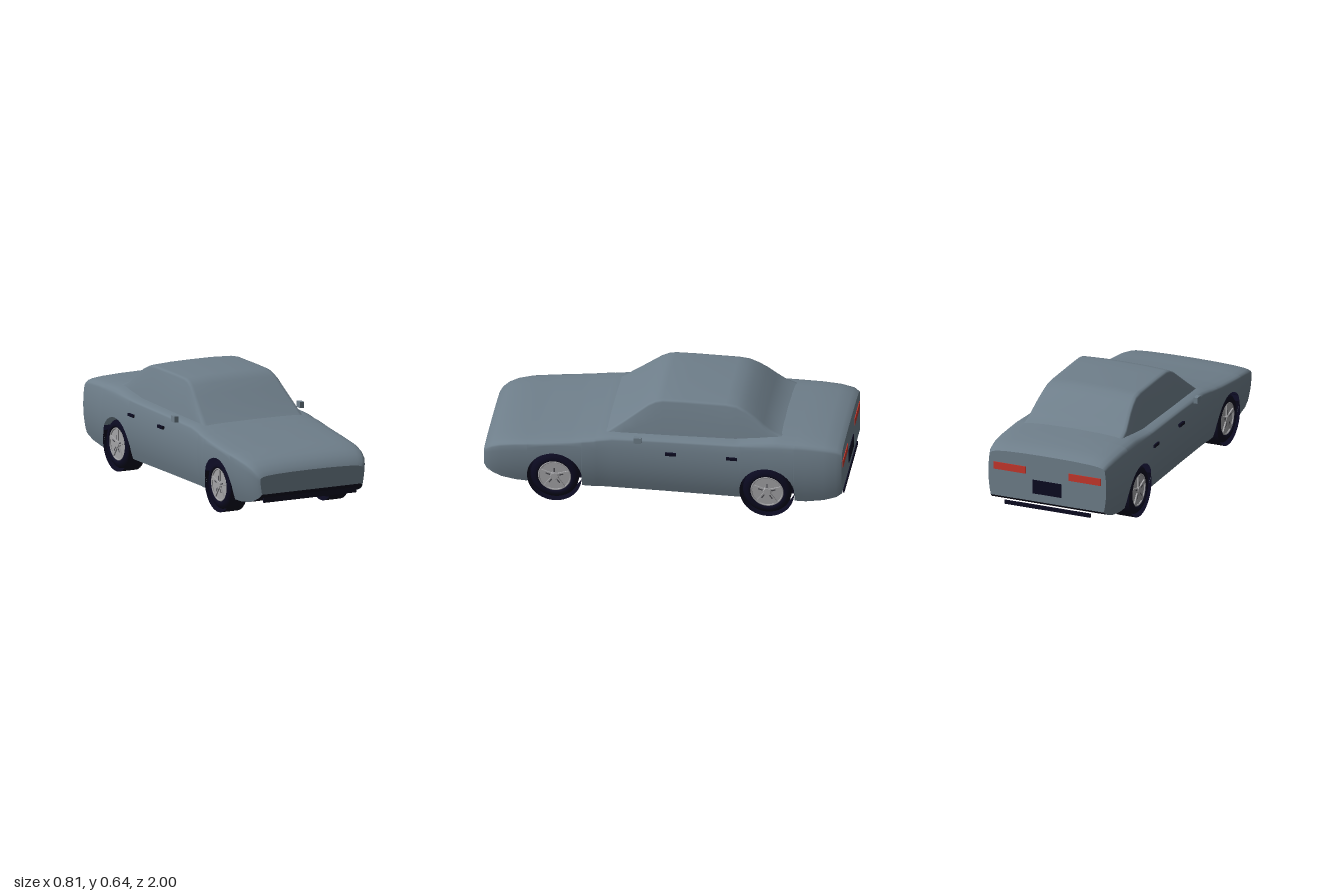
import * as THREE from 'three';

const mat = (name, color, side = THREE.FrontSide) => {
  const m = new THREE.MeshStandardMaterial({ color, side });
  m.name = name;
  return m;
};

// Linear interpolation in rows of [z, ...values], ordered from front to back
function sample(keys, z) {
  let i = 0;
  while (i < keys.length - 2 && z < keys[i + 1][0]) i++;
  const a = keys[i], b = keys[i + 1];
  const t = THREE.MathUtils.clamp((a[0] - z) / (a[0] - b[0]), 0, 1);
  return a.map((v, k) => THREE.MathUtils.lerp(v, b[k], t));
}

// Skin over half sections [x, y] (bottom to centre line), mirrored in x
function loft(zs, half, caps = true) {
  const pos = [], idx = [];
  const rows = zs.map((z) => {
    const h = half(z);
    const mirrored = h.filter((p) => p[0] > 0).reverse().map(([x, y]) => [-x, y]);
    return [...h, ...mirrored].map(([x, y]) => [x, y, z]);
  });
  const n = rows[0].length;
  rows.forEach((r) => r.forEach((p) => pos.push(...p)));
  for (let i = 0; i < rows.length - 1; i++) {
    for (let j = 0; j < n - 1; j++) {
      const a = i * n + j, b = a + n;
      idx.push(a, b, a + 1, b, b + 1, a + 1);
    }
  }
  if (caps) {
    [rows[0], rows[rows.length - 1]].forEach((r, end) => {
      const s = pos.length / 3;
      r.forEach((p) => pos.push(...p));
      for (let j = 1; j < n - 1; j++) {
        if (end) idx.push(s, s + j + 1, s + j);
        else idx.push(s, s + j, s + j + 1);
      }
    });
  }
  const g = new THREE.BufferGeometry();
  g.setAttribute('position', new THREE.Float32BufferAttribute(pos, 3));
  g.setIndex(idx);
  g.computeVertexNormals();
  return g;
}

const AXLES = [0.6, -0.585], AXLE_Y = 0.135, ARCH = 0.152;

// z, half width, bottom, belt line, top
const BODY = [
  [1.0, 0.325, 0.15, 0.235, 0.262],
  [0.985, 0.34, 0.13, 0.255, 0.285],
  [0.95, 0.355, 0.11, 0.28, 0.312],
  [0.9, 0.368, 0.092, 0.3, 0.332],
  [0.82, 0.379, 0.082, 0.317, 0.346],
  [0.7, 0.384, 0.078, 0.332, 0.357],
  [0.5, 0.385, 0.078, 0.355, 0.382],
  [0.38, 0.385, 0.078, 0.373, 0.402],
  [0.365, 0.38, 0.078, 0.375, 0.405],
  [0.28, 0.379, 0.078, 0.388, 0.422],
  [0, 0.379, 0.078, 0.397, 0.422],
  [-0.4, 0.384, 0.078, 0.405, 0.43],
  [-0.62, 0.385, 0.078, 0.412, 0.465],
  [-0.8, 0.384, 0.08, 0.415, 0.46],
  [-0.9, 0.38, 0.098, 0.41, 0.453],
  [-0.97, 0.37, 0.122, 0.4, 0.44],
  [-1.0, 0.357, 0.145, 0.385, 0.42],
];
// z, roof line
const ROOF = [
  [0.34, 0.395], [0.3, 0.42], [0.22, 0.48], [0.15, 0.535], [0.09, 0.582], [0.05, 0.603],
  [0.01, 0.612], [-0.1, 0.614], [-0.34, 0.613], [-0.4, 0.606], [-0.45, 0.583],
  [-0.5, 0.552], [-0.55, 0.512], [-0.59, 0.482], [-0.64, 0.46], [-0.7, 0.44],
];

const sideX = (w, y) =>
  w * (1 - (y < 0.28 ? 0.09 * ((0.28 - y) / 0.2) ** 2 : 0.035 * ((y - 0.28) / 0.13) ** 2));

const archOffset = (z) => Math.min(...AXLES.map((a) => Math.abs(z - a)));

function bodySection(z) {
  const [, w, bottom, belt, top] = sample(BODY, z);
  const d = archOffset(z);
  const low = d <= ARCH ? Math.max(bottom, AXLE_Y + Math.sqrt(ARCH * ARCH - d * d)) : bottom;
  const pts = [];
  for (let k = 0; k <= 7; k++) {
    const y = THREE.MathUtils.lerp(low, belt, k / 7);
    pts.push([sideX(w, y), y]);
  }
  const x = pts[7][0], rise = top - belt;
  for (const [fx, fy] of [[0.985, 0.28], [0.95, 0.5], [0.87, 0.7], [0.7, 0.85], [0.4, 0.96], [0, 1]]) {
    pts.push([x * fx, belt + rise * fy]);
  }
  return pts;
}

function cabinSection(z) {
  const y = sample(ROOF, z)[1];
  const wall = (h) => 0.312 - (h - 0.4) * 0.21;
  const base = 0.37, edge = y - 0.012, x = wall(edge);
  return [
    [wall(base), base], [wall((base + edge) / 2) + 0.003, (base + edge) / 2], [x, edge],
    [x - 0.008, y - 0.003], [x - 0.025, y], [0.13, y + 0.006], [0, y + 0.007],
  ];
}

// Stations, with extra ones around the wheel arches
function bodyStations() {
  const zs = BODY.map((k) => k[0]).filter((z) => archOffset(z) > ARCH + 0.002);
  for (const a of AXLES) {
    zs.push(a + ARCH + 0.001, a - ARCH - 0.001);
    for (let i = 0; i <= 18; i++) zs.push(a + ARCH * Math.cos((i / 18) * Math.PI));
  }
  return zs.sort((a, b) => b - a);
}

export function createModel() {
  const car = new THREE.Group();
  car.name = 'car';
  const paint = mat('bodyPaint', 0x6f7f8b, THREE.DoubleSide);
  const dark = mat('darkTrim', 0x0b0a20, THREE.DoubleSide);
  const silver = mat('wheelSilver', 0xa3a3a6);
  const slot = mat('wheelSlot', 0x4a4a50);
  const red = mat('tailRed', 0xc8372c);

  const add = (name, geo, material, x = 0, y = 0, z = 0, parent = car) => {
    const m = new THREE.Mesh(geo, material);
    m.name = name;
    m.position.set(x, y, z);
    parent.add(m);
    return m;
  };
  const box = (w, h, d) => new THREE.BoxGeometry(w, h, d);

  // Shell, cabin and floor
  const zs = bodyStations();
  add('bodyShell', loft(zs, bodySection), paint);
  add('cabin', loft(ROOF.map((k) => k[0]), cabinSection), paint);
  add('underside', loft(zs, (z) => {
    const [, w, bottom] = sample(BODY, z);
    return [[archOffset(z) <= ARCH ? 0.27 : sideX(w, bottom) - 0.001, bottom + 0.001]];
  }, false), dark);

  // Wheels and wheel wells
  const tyreGeo = new THREE.LatheGeometry([
    [0.08, 0.292], [0.115, 0.292], [0.135, 0.302], [0.135, 0.356],
    [0.122, 0.368], [0.105, 0.374], [0.094, 0.37], [0.09, 0.355],
  ].map(([r, h]) => new THREE.Vector2(r, h)), 40);
  const liner = new THREE.CylinderGeometry(ARCH, ARCH, 0.105, 32, 1, true, -0.35, Math.PI + 0.7);
  const disc = new THREE.CylinderGeometry(0.092, 0.092, 0.05, 40);
  const hub = new THREE.CylinderGeometry(0.02, 0.026, 0.012, 20);
  const lip = new THREE.TorusGeometry(0.088, 0.005, 8, 40);
  for (const z of AXLES) {
    for (const side of [1, -1]) {
      const wheel = new THREE.Group();
      wheel.name = (z > 0 ? 'front' : 'rear') + (side > 0 ? 'Left' : 'Right') + 'Wheel';
      wheel.position.set(0, AXLE_Y, z);
      wheel.rotation.y = side > 0 ? 0 : Math.PI;
      car.add(wheel);
      add('tyre', tyreGeo, dark, 0, 0, 0, wheel).rotation.z = -Math.PI / 2;
      add('rimDisc', disc, silver, 0.336, 0, 0, wheel).rotation.z = -Math.PI / 2;
      add('rimLip', lip, silver, 0.364, 0, 0, wheel).rotation.y = Math.PI / 2;
      add('hub', hub, silver, 0.367, 0, 0, wheel).rotation.z = -Math.PI / 2;
      add('wheelBack', new THREE.CircleGeometry(0.09, 32), dark, 0.3, 0, 0, wheel).rotation.y = Math.PI / 2;
      for (let i = 0; i < 5; i++) {
        const arm = new THREE.Group();
        arm.name = 'spokeArm';
        arm.rotation.x = (i / 5) * Math.PI * 2;
        wheel.add(arm);
        add('spoke', box(0.01, 0.07, 0.022), silver, 0.364, 0.05, 0, arm);
        add('slot', box(0.004, 0.026, 0.007), slot, 0.368, 0.038, 0, arm);
      }
      const lining = add('wheelWell', liner, dark, side * 0.322, AXLE_Y, z);
      lining.rotation.set(0, Math.PI / 2, Math.PI / 2, 'XZY');
      lining.rotation.set(0, 0, Math.PI / 2);
      // Turn the arc so that its opening faces the ground
      lining.geometry = liner.clone().rotateY(Math.PI / 2);
      lining.updateMatrix();
      const mid = new THREE.Vector3();
      const p = lining.geometry.attributes.position;
      for (let k = 0; k < p.count; k++) mid.add(new THREE.Vector3().fromBufferAttribute(p, k));
      mid.transformDirection(lining.matrix);
      if (mid.y < -0.5) lining.geometry.rotateY(Math.PI);
      else if (Math.abs(mid.z) > 0.5) lining.geometry.rotateY(Math.PI / 2);
      add('wellWall', box(0.006, 0.21, 0.3), dark, side * 0.27, 0.184, z);
    }
  }

  // Mirrors, door handles and tail lights
  for (const side of [1, -1]) {
    add('mirror', box(0.025, 0.034, 0.042), paint, side * 0.394, 0.42, 0.133);
    for (const z of [-0.05, -0.39]) add('doorHandle', box(0.018, 0.016, 0.06), dark, side * 0.381, 0.337, z);
    add('tailLight', box(0.195, 0.042, 0.008), red, side * 0.228, 0.322, -1.0);
  }

  // Plate and bumper strips
  add('rearPlate', box(0.175, 0.08, 0.008), dark, 0, 0.232, -1.0);
  add('rearStrip', box(0.52, 0.022, 0.009), dark, 0, 0.113, -0.997);
  add('frontStrip', box(0.58, 0.03, 0.009), dark, 0, 0.113, 0.975);
  return car;
}
